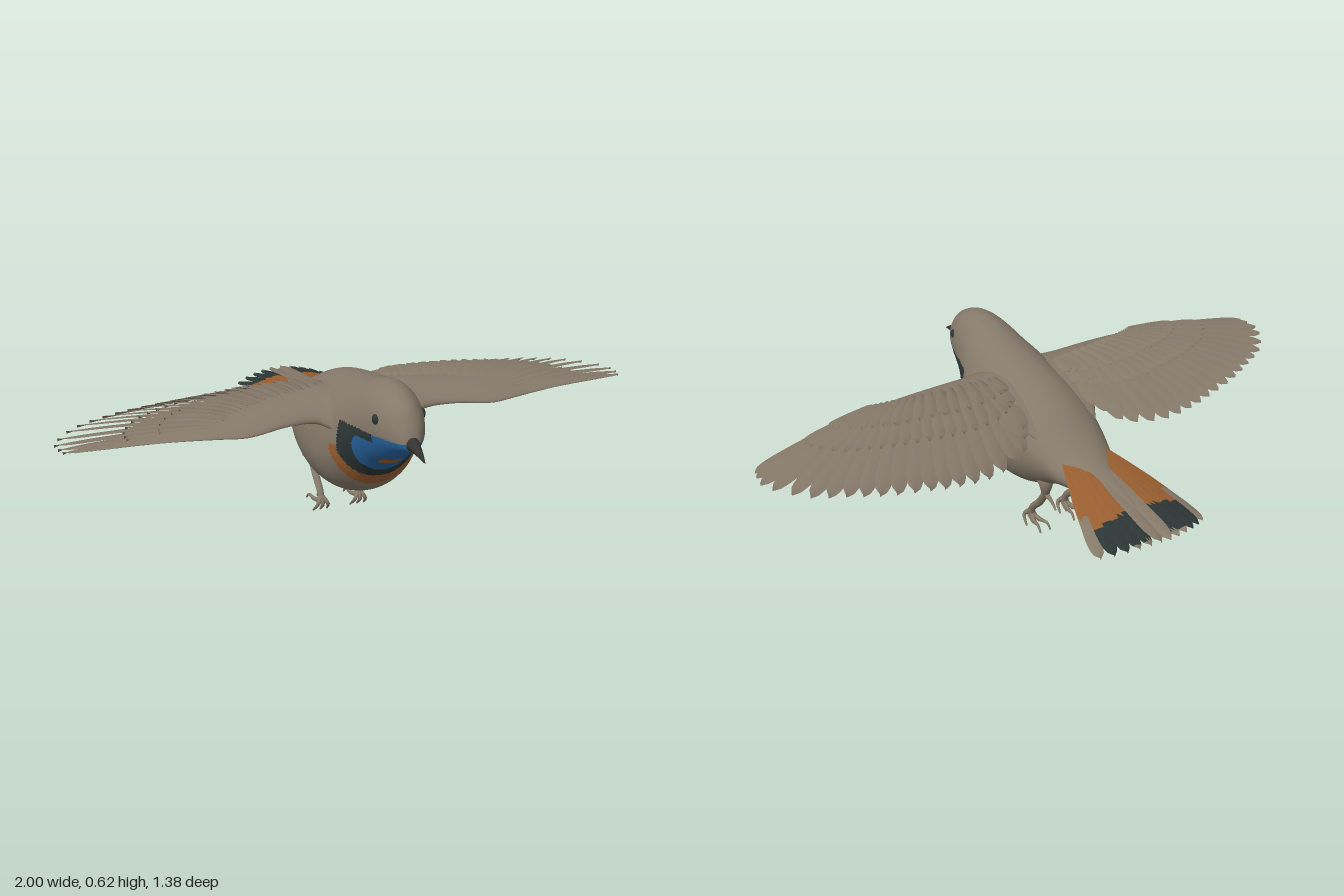
import * as THREE from 'three';

const paint = (name, color) => {
  const m = new THREE.MeshStandardMaterial({ color, side: THREE.DoubleSide });
  m.name = name;
  return m;
};
const MATS = [
  paint('grey brown plumage', 0x857969),
  paint('throat blue', 0x27639f),
  paint('slate black', 0x2c3535),
  paint('rust orange', 0x995e30),
  paint('beak dark', 0x35322f),
];
const [BROWN, BLUE, SLATE, RUST, BEAK] = [0, 1, 2, 3, 4];
const { lerp, clamp } = THREE.MathUtils;

// Surface over a grid; each face takes its colour from a rule on its centre
function surface(name, nu, nv, closed, point, colour = () => BROWN) {
  const pos = [], faces = MATS.map(() => []), cols = closed ? nv : nv + 1;
  for (let i = 0; i <= nu; i++)
    for (let j = 0; j < cols; j++) pos.push(...point(i / nu, j / nv));
  const add = (...t) => {
    const c = [0, 1, 2].map(k => (pos[t[0] * 3 + k] + pos[t[1] * 3 + k] + pos[t[2] * 3 + k]) / 3);
    faces[colour(...c)].push(...t);
  };
  for (let i = 0; i < nu; i++)
    for (let j = 0; j < nv; j++) {
      const k = (j + 1) % cols, a = i * cols + j, b = a + cols, c = i * cols + k, d = c + cols;
      add(a, b, c);
      add(b, d, c);
    }
  const g = new THREE.BufferGeometry();
  g.setAttribute('position', new THREE.Float32BufferAttribute(pos, 3));
  g.setIndex(faces.flat());
  let start = 0;
  faces.forEach((f, m) => {
    if (f.length) g.addGroup(start, f.length, m);
    start += f.length;
  });
  g.computeVertexNormals();
  const mesh = new THREE.Mesh(g, MATS);
  mesh.name = name;
  return mesh;
}

// Smooth interpolation of each column of a station table
function stations(rows) {
  const curves = rows[0].map((_, c) => new THREE.SplineCurve(rows.map((r, i) => new THREE.Vector2(i, r[c]))));
  return u => curves.map(c => c.getPoint(u).y);
}

// Body sections: z, top, bottom, half width, height of widest point
const bodyAt = stations([
  [0.602, 0.478, 0.474, 0.002, 0.476], [0.597, 0.503, 0.455, 0.024, 0.476],
  [0.58, 0.54, 0.443, 0.042, 0.482], [0.55, 0.58, 0.425, 0.062, 0.49],
  [0.50, 0.609, 0.39, 0.083, 0.495], [0.45, 0.621, 0.358, 0.098, 0.485],
  [0.40, 0.622, 0.322, 0.112, 0.46], [0.35, 0.612, 0.268, 0.132, 0.42],
  [0.30, 0.597, 0.212, 0.153, 0.375], [0.22, 0.58, 0.167, 0.174, 0.34],
  [0.11, 0.557, 0.148, 0.178, 0.33], [0, 0.528, 0.158, 0.17, 0.335],
  [-0.10, 0.482, 0.2, 0.15, 0.345], [-0.18, 0.43, 0.24, 0.128, 0.34],
  [-0.25, 0.393, 0.262, 0.105, 0.325], [-0.32, 0.372, 0.272, 0.08, 0.32],
  [-0.42, 0.352, 0.283, 0.058, 0.315], [-0.52, 0.332, 0.288, 0.04, 0.31],
  [-0.59, 0.313, 0.304, 0.005, 0.308],
]);

// Throat bib: blue, dark border and rust breast band
function bodyColour(x, y, z) {
  if (z < 0.29 || y > 0.478) return BROWN;
  const ring = (rx, ry) => Math.hypot(x / rx, (y - 0.42) / ry) < 1;
  if (Math.hypot(x / 0.05, (y - 0.37) / 0.018) < 1) return RUST;
  if (z < 0.48 && y > 0.45 && Math.abs(x) > 0.05 && z > 0.33) return SLATE;
  if (ring(0.115, 0.11) && z > 0.35) return BLUE;
  if (ring(0.15, 0.142) && z > 0.325) return SLATE;
  return y < 0.39 && ring(0.165, 0.185) ? RUST : BROWN;
}

function makeBody() {
  return surface('body', 180, 112, true, (u, v) => {
    const [z, top, bottom, w, mid] = bodyAt(u), a = v * Math.PI * 2, s = Math.sin(a);
    return [w * Math.cos(a), mid + s * (s > 0 ? top - mid : mid - bottom), z];
  }, bodyColour);
}

// Cambered sheet that the wing parts follow
function wingY(x, z) {
  const top = 0.515 - 0.085 * Math.pow(Math.max(0, (x - 0.2) / 0.8), 1.5);
  return top - (z > 0.14 ? 1.9 : 0.95) * (1.15 - 0.65 * x) * (z - 0.14) ** 2;
}
const tailY = (x, z) => 0.375 + (z + 0.235) * 0.17 - 1.1 * x * x;

// Blade in plan from base to tip, laid on a height rule and tilted like a shingle
function feather(name, base, tip, width, height, lift, tilt, colour) {
  const dx = tip[0] - base[0], dz = tip[1] - base[1], len = Math.hypot(dx, dz);
  return surface(name, 24, 4, false, (u, v) => {
    const s = v * 2 - 1;
    const cap = u > 0.8 ? Math.sqrt(Math.max(0, 1 - ((u - 0.8) / 0.2) ** 2)) : 1;
    const w = s * width * Math.min(1, 0.5 + u) * cap;
    const x = base[0] + dx * u - dz / len * w, z = base[1] + dz * u + dx / len * w;
    return [x, height(x, z) + lift + tilt * s + 0.003 * (1 - s * s), z];
  }, colour);
}

const plan = pts => new THREE.SplineCurve(pts.map(p => new THREE.Vector2(...p)));
const tips = plan([[0.155, -0.1], [0.21, -0.18], [0.34, -0.215], [0.46, -0.208], [0.57, -0.185],
  [0.69, -0.15], [0.8, -0.1], [0.91, -0.035], [0.995, 0.085], [0.985, 0.172]]);
const roots = plan([[0.12, 0.14], [0.17, 0.15], [0.24, 0.16], [0.3, 0.17], [0.36, 0.19],
  [0.41, 0.2], [0.45, 0.215], [0.48, 0.23], [0.51, 0.25], [0.53, 0.268]]);
// Wing arm: x, leading z, trailing z, thickness
const armAt = stations([
  [0.05, 0.37, -0.16, 0.12], [0.11, 0.335, -0.13, 0.115], [0.15, 0.295, -0.07, 0.1],
  [0.2, 0.275, -0.01, 0.08], [0.3, 0.283, 0.04, 0.055], [0.42, 0.3, 0.08, 0.04],
  [0.52, 0.288, 0.13, 0.028], [0.68, 0.256, 0.18, 0.016], [0.85, 0.218, 0.18, 0.008], [0.95, 0.19, 0.175, 0.003],
]);

function makeWing() {
  const wing = new THREE.Group();
  wing.add(surface('wingArm', 60, 40, true, (u, v) => {
    const [x, lead, trail, th] = armAt(u), a = v * Math.PI * 2, c = Math.cos(a);
    const z = (lead + trail) / 2 + c * (lead - trail) / 2;
    return [x, wingY(x, z) - th * 0.25 + Math.sin(a) * th * 0.5 * (0.7 + 0.3 * c), z];
  }, (x, y, z) => (x < 0.25 && z > 0.04 && z < 0.2 && y < 0.475 ? RUST : BROWN)));

  // Flight feathers, then shorter covert rows above and below
  const rows = [['flightFeather', 22, 1, 0.034, 0], ['greaterCovert', 22, 0.58, 0.026, 0.008],
    ['medianCovert', 18, 0.36, 0.024, 0.015], ['underCovert', 18, 0.48, 0.03, -0.008]];
  for (const [name, n, reach, width, lift] of rows)
    for (let i = 0; i < n; i++) {
      const t = i / (n - 1), a = roots.getPoint(t), b = tips.getPoint(t);
      const end = a.clone().lerp(b, reach);
      wing.add(feather(name, a.toArray(), end.toArray(), lerp(width, width * 0.72, t), wingY, lift, 0.005));
    }
  return wing;
}

function makeTail() {
  const tail = new THREE.Group();
  tail.name = 'tail';
  for (let i = -5.5; i <= 5.5; i++) {
    const k = i / 5.5, n = Math.abs(i);
    const colour = (x, y, z) => {
      if (n < 1 || z < -0.655 || (n > 5 && z < -0.46)) return BROWN;
      return z < -0.525 ? SLATE : RUST;
    };
    tail.add(feather('tailFeather', [0.06 * k, -0.19], [0.2 * k, -0.688 + 0.07 * k * k], 0.026,
      tailY, 0.004 * (1 - Math.abs(k)), 0.004 * Math.sign(i), colour));
  }
  return tail;
}

// Rounded limb through points, tapering from r0 to r1
function limb(name, pts, r0, r1) {
  const curve = new THREE.CatmullRomCurve3(pts.map(p => new THREE.Vector3(...p)));
  const g = new THREE.TubeGeometry(curve, 20, 1, 10), p = g.attributes.position;
  const v = new THREE.Vector3();
  for (let i = 0; i < p.count; i++) {
    const u = Math.floor(i / 11) / 20, c = curve.getPointAt(u);
    v.fromBufferAttribute(p, i).sub(c).multiplyScalar(lerp(r0, r1, clamp(u, 0, 1))).add(c);
    p.setXYZ(i, v.x, v.y, v.z);
  }
  g.computeVertexNormals();
  const mesh = new THREE.Mesh(g, MATS[BROWN]);
  mesh.name = name;
  return mesh;
}

function makeLeg() {
  const leg = new THREE.Group();
  leg.add(limb('thigh', [[0.075, 0.27, -0.07], [0.075, 0.23, -0.11], [0.072, 0.175, -0.105]], 0.04, 0.013));
  leg.add(limb('shank', [[0.072, 0.185, -0.11], [0.07, 0.12, -0.065], [0.07, 0.07, -0.018], [0.07, 0.04, -0.008]], 0.014, 0.012));
  leg.add(limb('spur', [[0.072, 0.178, -0.1], [0.074, 0.17, -0.145], [0.076, 0.15, -0.176]], 0.01, 0.003));
  for (const s of [-1, 0, 1])
    leg.add(limb('frontToe', [[0.07, 0.06, -0.012], [0.07 + s * 0.018, 0.035, 0.006], [0.07 + s * 0.026, 0.003, -0.022]], 0.01, 0.003));
  for (const s of [-1, 1])
    leg.add(limb('backToe', [[0.07, 0.04, -0.012], [0.07 + s * 0.012, 0.034, -0.05], [0.07 + s * 0.018, 0.036, -0.085], [0.07 + s * 0.02, 0.018, -0.103]], 0.01, 0.003));
  return leg;
}

// Slightly down-curved beak
function makeBeak() {
  return surface('beak', 24, 24, true, (u, v) => {
    const a = v * Math.PI * 2, r = 0.0005 + 0.027 * Math.pow(1 - u, 0.85);
    return [r * 0.9 * Math.cos(a), 0.478 - 0.024 * u * u + r * Math.sin(a) * 0.95 - 0.004 * u, 0.58 + 0.11 * u];
  }, () => BEAK);
}

export function createModel() {
  const bird = new THREE.Group();
  bird.name = 'bird';
  const beak = makeBeak();
  bird.add(makeBody(), beak, makeTail());
  for (const [side, s] of [['left', 1], ['right', -1]]) {
    const half = new THREE.Group();
    half.name = side + 'Side';
    const wing = makeWing(), leg = makeLeg();
    wing.name = side + 'Wing';
    leg.name = side + 'Leg';
    const eye = new THREE.Mesh(new THREE.SphereGeometry(0.017, 20, 14), MATS[SLATE]);
    eye.name = side + 'Eye';
    eye.scale.x = 0.6;
    eye.position.set(0.078, 0.53, 0.49);
    half.add(wing, leg, eye);
    half.scale.x = s;
    bird.add(half);
  }
  return bird;
}
